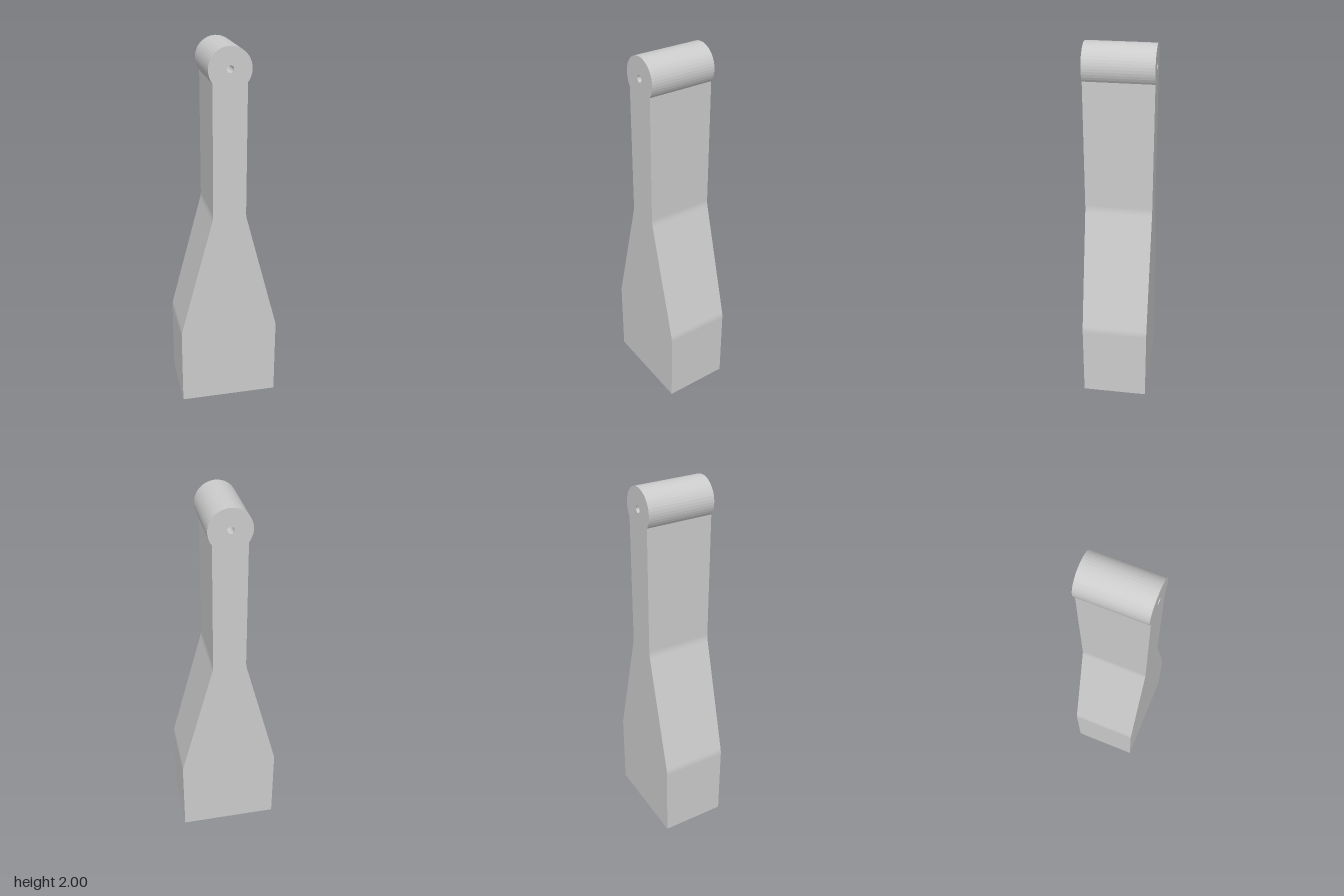
import * as THREE from 'three';

const DEPTH = 0.36;
const BASE = 0.27, NECK = 0.088;            // half widths
const BASE_TOP = 0.44, NECK_START = 1.12;   // ends of the taper
const EYE_Y = 1.89, EYE_R = 0.11, HOLE_R = 0.018;
const BLEND = 0.02;                         // softened bends at the taper

export function createModel() {
  const group = new THREE.Group();
  group.name = 'taperedLever';

  const slope = (BASE - NECK) / (NECK_START - BASE_TOP);
  const eyeAngle = Math.acos(NECK / EYE_R);
  const shape = new THREE.Shape();

  // Right side, going up
  shape.moveTo(-BASE, 0);
  shape.lineTo(BASE, 0);
  shape.lineTo(BASE, BASE_TOP - BLEND);
  shape.quadraticCurveTo(BASE, BASE_TOP, BASE - slope * BLEND, BASE_TOP + BLEND);
  shape.lineTo(NECK + slope * BLEND, NECK_START - BLEND);
  shape.quadraticCurveTo(NECK, NECK_START, NECK, NECK_START + BLEND);

  // Rounded eye at the top
  shape.absarc(0, EYE_Y, EYE_R, -eyeAngle, Math.PI + eyeAngle, false);

  // Left side, going down
  shape.lineTo(-NECK, NECK_START + BLEND);
  shape.quadraticCurveTo(-NECK, NECK_START, -NECK - slope * BLEND, NECK_START - BLEND);
  shape.lineTo(-BASE + slope * BLEND, BASE_TOP + BLEND);
  shape.quadraticCurveTo(-BASE, BASE_TOP, -BASE, BASE_TOP - BLEND);
  shape.closePath();

  // Pin hole through the eye
  const hole = new THREE.Path();
  hole.absarc(0, EYE_Y, HOLE_R, 0, Math.PI * 2, true);
  shape.holes.push(hole);

  const geometry = new THREE.ExtrudeGeometry(shape, {
    depth: DEPTH, bevelEnabled: false, curveSegments: 16,
  });
  geometry.translate(0, 0, -DEPTH / 2);

  const body = new THREE.Mesh(geometry, new THREE.MeshStandardMaterial({ color: 0xcccccc }));
  body.name = 'leverBody';
  group.add(body);
  return group;
}
